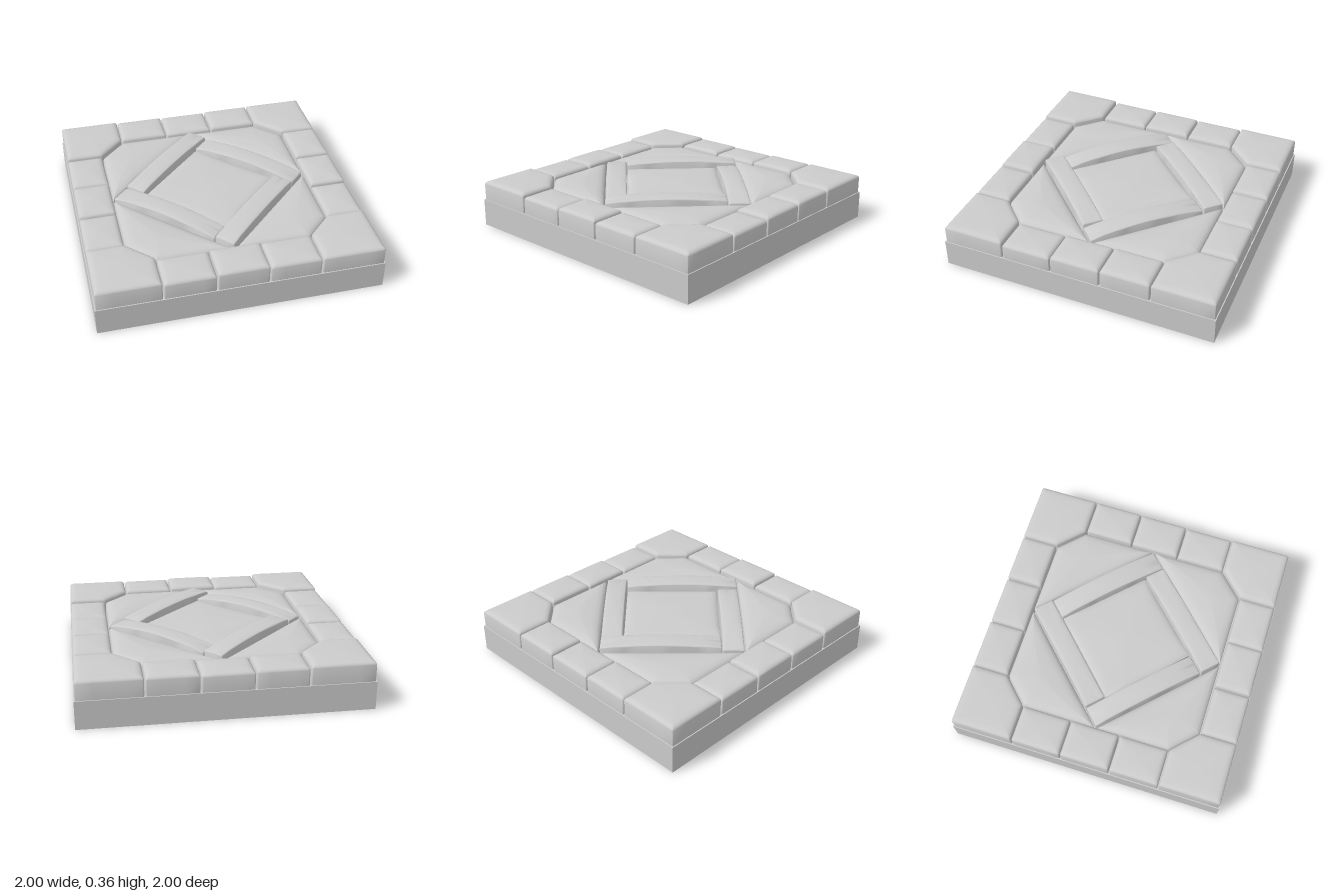
import * as THREE from 'three';
import { toCreasedNormals } from 'three/addons/utils/BufferGeometryUtils.js';

const material = new THREE.MeshStandardMaterial({ color: 0xcccccc });
const BASE = 0.2;

// Move every edge of a convex outline inwards by d
function inset(points, d) {
  const n = points.length;
  return points.map((p, i) => {
    const a = p.clone().sub(points[(i + n - 1) % n]).normalize();
    const b = points[(i + 1) % n].clone().sub(p).normalize();
    const na = new THREE.Vector2(-a.y, a.x), nb = new THREE.Vector2(-b.y, b.x);
    return p.clone().addScaledVector(na.add(nb), d / (1 + a.dot(b) + 1e-9));
  });
}

// Round the corners by r and sample the edges between them
function sampleOutline(points, r, steps) {
  const n = points.length, out = [];
  points.forEach((p, i) => {
    const prev = points[(i + n - 1) % n], next = points[(i + 1) % n];
    const start = p.clone().add(prev.clone().sub(p).setLength(r));
    const end = p.clone().add(next.clone().sub(p).setLength(r));
    const nextStart = next.clone().add(p.clone().sub(next).setLength(r));
    out.push(...new THREE.QuadraticBezierCurve(start, p, end).getPoints(3));
    for (let k = 1; k < steps; k++) out.push(end.clone().lerp(nextStart, k / steps));
  });
  return out;
}

// Cut stone: straight sides, a rounded shoulder and a slightly domed top
function stone(name, corners, top, o = {}) {
  const { bevel = 0.045, drop = 0.025, crown = 0.005, round = 0.012, gap = 0.004, steps = 4, bow } = o;
  let outline = corners.map(([x, z]) => new THREE.Vector2(x, z));
  if (THREE.ShapeUtils.area(outline) < 0) outline.reverse();
  outline = inset(outline, gap);
  const mid = outline.reduce((s, p) => s.add(p), new THREE.Vector2()).divideScalar(outline.length);
  const shoulder = top - crown;
  const positions = [], index = [];
  let rings = 0, count = 0;
  const addRing = (ring, y) => {
    count = ring.length;
    for (const p of ring) positions.push(p.x, y - (bow && y > BASE ? bow(p.x, p.y) : 0), p.y);
    rings++;
  };
  addRing(sampleOutline(outline, round, steps), BASE - 0.01);
  for (let k = 0; k <= 4; k++) {
    const a = (k / 4) * Math.PI / 2;
    const d = bevel * (1 - Math.cos(a));
    addRing(sampleOutline(inset(outline, d), round, steps), shoulder - drop * (1 - Math.sin(a)));
  }
  const inner = sampleOutline(inset(outline, bevel), round, steps);
  for (const t of [0.7, 0.4, 0.1]) {
    addRing(inner.map(p => mid.clone().lerp(p, t)), shoulder + crown * (1 - t * t));
  }
  for (let r = 0; r < rings - 1; r++) {
    for (let i = 0; i < count; i++) {
      const j = (i + 1) % count, a = r * count + i, b = r * count + j;
      index.push(a, a + count, b, b, a + count, b + count);
    }
  }
  const centre = positions.length / 3, last = (rings - 1) * count;
  positions.push(mid.x, top - (bow ? bow(mid.x, mid.y) : 0), mid.y);
  for (let i = 0; i < count; i++) index.push(last + i, centre, last + (i + 1) % count);
  const geometry = new THREE.BufferGeometry();
  geometry.setAttribute('position', new THREE.Float32BufferAttribute(positions, 3));
  geometry.setIndex(index);
  const mesh = new THREE.Mesh(toCreasedNormals(geometry, 0.8), material);
  mesh.name = name;
  return mesh;
}

// Quarter turns about the middle of the tile
function turn(points, quarters) {
  return points.map(([x, z]) => {
    for (let k = 0; k < quarters; k++) [x, z] = [-z, x];
    return [x, z];
  });
}

export function createModel() {
  const model = new THREE.Group();

  // Base slab
  const slab = new THREE.Mesh(new THREE.BoxGeometry(2, BASE, 2), material);
  slab.name = 'baseSlab';
  slab.position.y = BASE / 2;
  model.add(slab);

  // Border and inner fields, one quarter at a time from the front round to the left
  const edge = 0.997, inner = 0.725, cut = 0.545;
  const corner = [[edge, edge], [cut, edge], [cut, inner], [inner, cut], [edge, cut]];
  const field = [[inner, 0], [inner, cut], [cut, inner], [0, inner]];
  const cornerTops = [0.342, 0.352, 0.35, 0.346];
  const borderTops = [
    [0.337, 0.347, 0.337],
    [0.335, 0.34, 0.335],
    [0.34, 0.335, 0.342],
    [0.342, 0.337, 0.325],
  ];
  for (let q = 0; q < 4; q++) {
    model.add(stone('cornerStone', turn(corner, q), cornerTops[q], { bevel: 0.05 }));
    model.add(stone('innerField', turn(field, q), 0.332,
      { bevel: 0.1, drop: 0.035, crown: 0.006 }));
    for (let i = 0; i < 3; i++) {
      // Front and right rows run with +x and -z; the others follow by rotation
      const side = (i - 1) * 2 * cut / 3, half = cut / 3;
      const block = [[side - half, inner], [side + half, inner], [side + half, edge], [side - half, edge]];
      const order = q === 0 ? i : 2 - i;
      model.add(stone('borderStone', turn(block, q), borderTops[q][order]));
    }
  }

  // Pinwheel frame of four bowed bars
  const bar = [[0, -0.72], [0.112, -0.608], [-0.496, 0], [-0.608, -0.112]];
  for (let q = 0; q < 4; q++) {
    const corners = turn(bar, q);
    const [cx, cz] = [0, 1].map(k => corners.reduce((s, p) => s + p[k], 0) / 4);
    const fall = q % 2 ? 0.04 : 0.022;
    const bow = (x, z) => fall * ((x - cx) ** 2 + (z - cz) ** 2) / 0.19;
    model.add(stone('frameBar', corners, 0.359,
      { bevel: 0.012, drop: 0.01, crown: 0.003, round: 0.005, steps: 10, bow }));
  }

  // Sunken centre panel
  model.add(stone('centrePanel', [[0, -0.492], [0.492, 0], [0, 0.492], [-0.492, 0]], 0.325,
    { bevel: 0.12, drop: 0.02, crown: 0.008, round: 0.01 }));

  return model;
}
